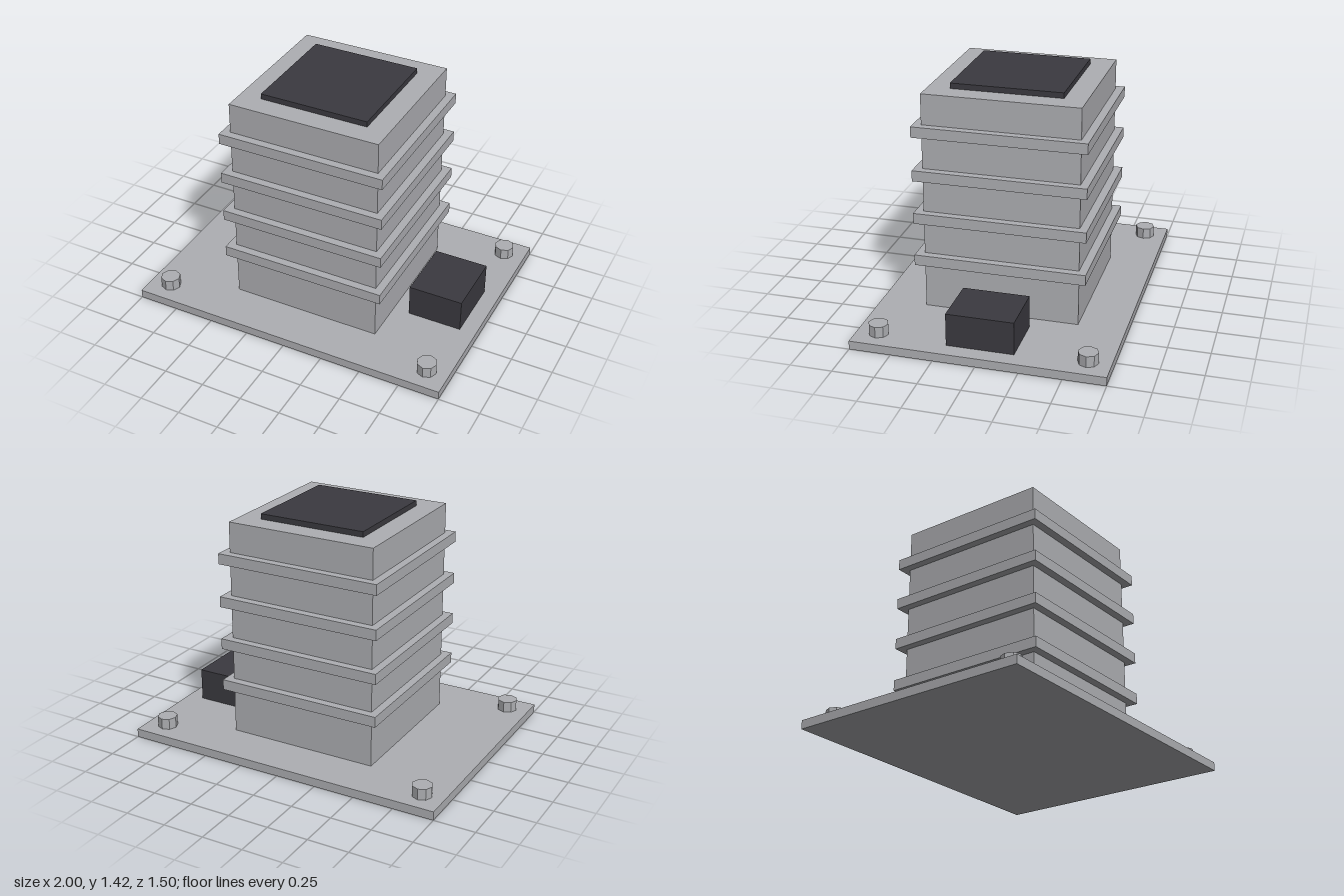
import * as THREE from 'three';

export function createModel() {
  const model = new THREE.Group();
  model.name = 'ribbedTower';

  const grey = new THREE.MeshStandardMaterial({ color: 0xaeafb3 });
  grey.name = 'concrete grey';
  const dark = new THREE.MeshStandardMaterial({ color: 0x3b3a40 });
  dark.name = 'dark grey';

  const baseTop = 0.053;
  const towerTop = 1.387;

  // Box placed by the height of its underside
  function box(name, material, w, h, d, x, bottom, z = 0) {
    const mesh = new THREE.Mesh(new THREE.BoxGeometry(w, h, d), material);
    mesh.name = name;
    mesh.position.set(x, bottom + h / 2, z);
    model.add(mesh);
  }

  box('basePlate', grey, 2, baseTop, 1.5, 0, 0);
  box('towerBody', grey, 0.933, towerTop - baseTop, 0.933, 0, baseTop);
  box('roofPanel', dark, 0.667, 0.033, 0.667, 0, towerTop);
  box('sideUnit', dark, 0.333, 0.2, 0.4, 0.733, baseTop);

  // Evenly spaced ribs around the tower
  for (let i = 0; i < 4; i++) {
    box(`rib${i + 1}`, grey, 1.03, 0.065, 1.03, 0, 0.336 + i * 0.267);
  }

  // Eight-sided bolts at the corners of the base
  const boltGeometry = new THREE.CylinderGeometry(0.06, 0.06, 0.067, 8).toNonIndexed();
  boltGeometry.computeVertexNormals();
  for (const [side, x] of [['left', 0.867], ['right', -0.867]]) {
    for (const [end, z] of [['Front', 0.617], ['Back', -0.617]]) {
      const bolt = new THREE.Mesh(boltGeometry, grey);
      bolt.name = `${side}${end}Bolt`;
      bolt.position.set(x, baseTop + 0.0335, z);
      model.add(bolt);
    }
  }

  return model;
}
